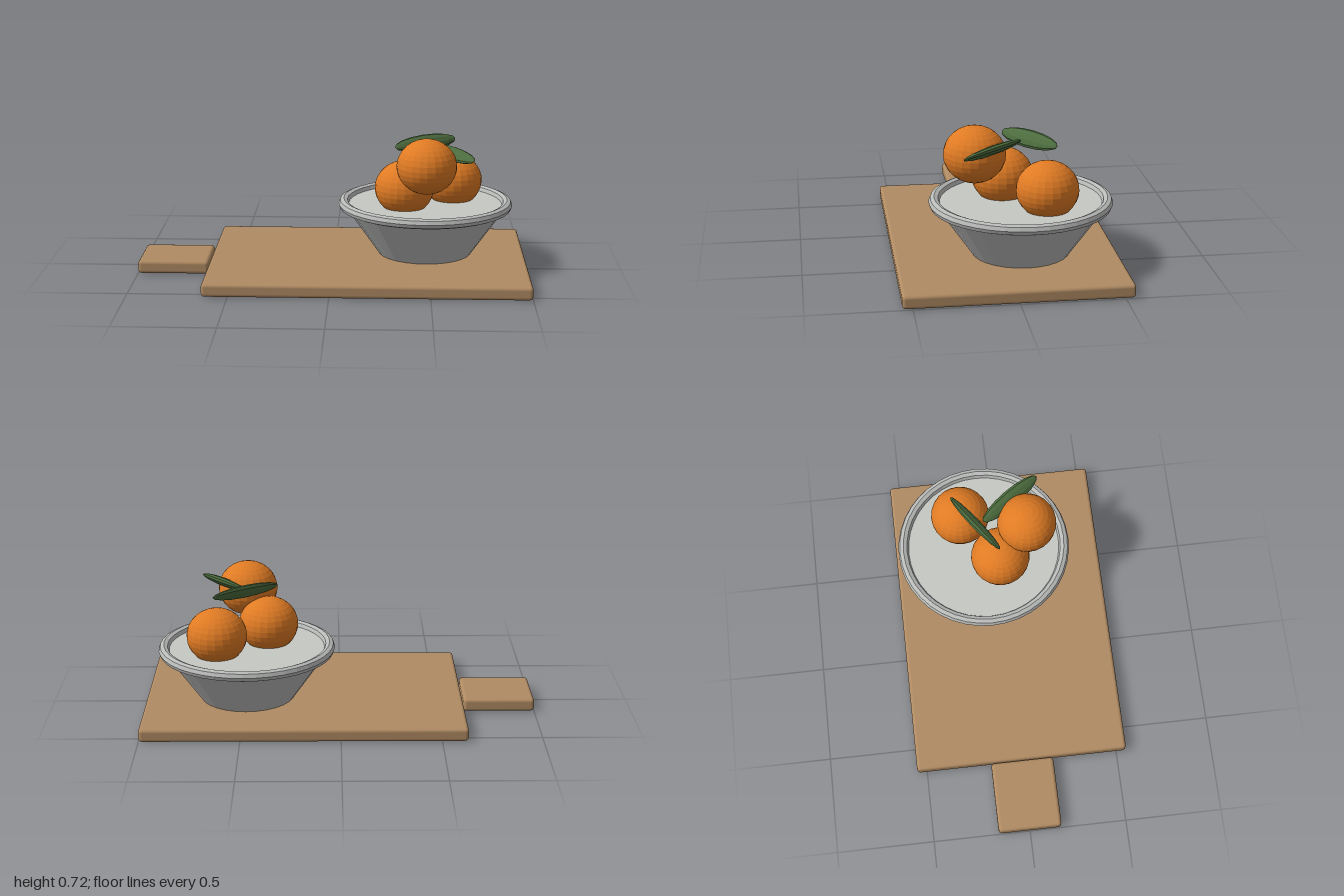
import * as THREE from 'three';
import { RoundedBoxGeometry } from 'three/addons/geometries/RoundedBoxGeometry.js';

const material = (name, color, flatShading = false) => {
  const m = new THREE.MeshStandardMaterial({ color, flatShading });
  m.name = name;
  return m;
};

export function createModel() {
  const group = new THREE.Group();
  const wood = material('wood', 0xb08b63);
  const steel = material('steel', 0xbabcba, true);
  const lining = material('lining', 0xc6c8c4);
  const peel = material('orangePeel', 0xe07b24, true);
  const green = material('leafGreen', 0x4c6c3e, true);

  const add = (name, geometry, mat, x, y, z) => {
    const mesh = new THREE.Mesh(geometry, mat);
    mesh.name = name;
    mesh.position.set(x, y, z);
    group.add(mesh);
    return mesh;
  };

  // Cutting board and its handle
  const thick = 0.068;
  add('board', new RoundedBoxGeometry(1.63, thick, 1.1, 2, 0.018), wood, 0.185, thick / 2, 0);
  add('handle', new RoundedBoxGeometry(0.365, thick, 0.326, 2, 0.018), wood, -0.8175, thick / 2, 0);

  // Bowl: tapered wall, level inside surface and rolled rim
  const bx = 0.48, bz = -0.077, rimY = 0.33;
  const wallH = rimY - thick + 0.002;
  add('bowl', new THREE.CylinderGeometry(0.424, 0.24, wallH, 28), [steel, lining, steel],
    bx, rimY - wallH / 2, bz);
  const rim = new THREE.TorusGeometry(0.425, 0.027, 8, 40).rotateX(Math.PI / 2);
  add('rim', rim, steel, bx, rimY, bz);

  // Slightly flattened oranges
  const fruit = new THREE.SphereGeometry(0.153, 24, 16).scale(1, 0.92, 1);
  [[0.37, 0.43, 0], [0.625, 0.43, -0.185], [0.48, 0.577, 0.15]].forEach(([x, y, z], i) =>
    add('orange' + (i + 1), fruit, peel, x, y, z));

  // Leaf: flattened spindle from a to b, its width axis raised by a tilt, its tips bent down
  function leaf(name, a, b, tilt, bend) {
    const start = new THREE.Vector3(...a), end = new THREE.Vector3(...b);
    const half = start.distanceTo(end) / 2;
    const g = new THREE.SphereGeometry(1, 10, 8).rotateZ(-Math.PI / 2).scale(half, 0.046, 0.021);
    const p = g.attributes.position;
    for (let i = 0; i < p.count; i++) p.setY(p.getY(i) - bend * ((p.getX(i) / half) ** 2 - 0.3));
    const along = end.clone().sub(start).normalize();
    const side = new THREE.Vector3(along.z, 0, -along.x).normalize();
    const width = side.multiplyScalar(Math.cos(tilt)).add(new THREE.Vector3(0, Math.sin(tilt), 0));
    width.addScaledVector(along, -width.dot(along)).normalize();
    const normal = along.clone().cross(width);
    const mid = start.add(end).multiplyScalar(0.5);
    const mesh = add(name, g, green, mid.x, mid.y, mid.z);
    mesh.quaternion.setFromRotationMatrix(new THREE.Matrix4().makeBasis(along, width, normal));
  }
  leaf('backLeaf', [0.32, 0.64, -0.005], [0.637, 0.645, -0.228], 0.96, 0.008);
  leaf('frontLeaf', [0.485, 0.637, -0.075], [0.715, 0.622, 0.228], 0.6, 0.02);

  return group;
}
